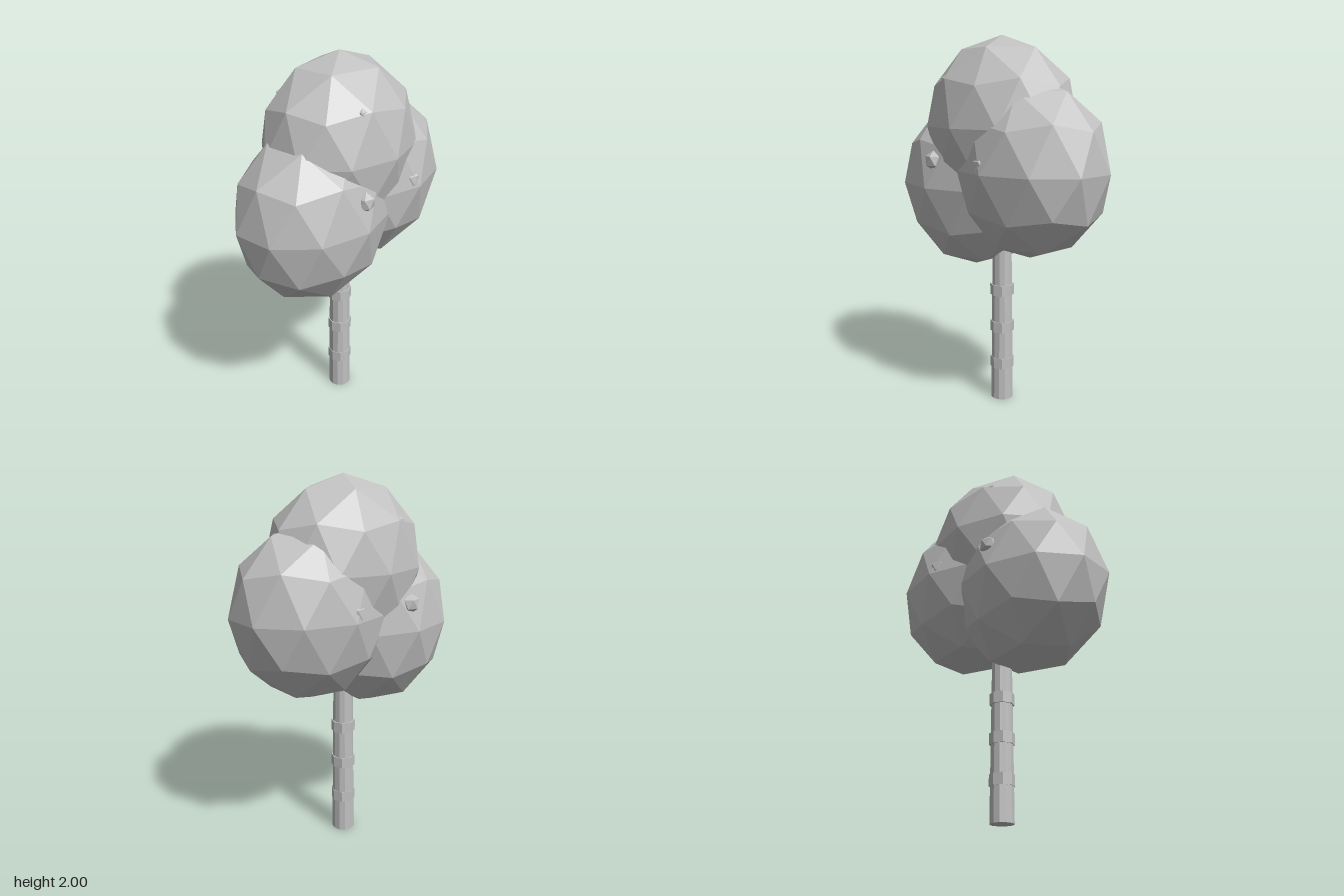
import * as THREE from 'three';

const grey = new THREE.MeshStandardMaterial({ color: 0xc0c0c0, flatShading: true });
grey.name = 'pale grey';

export function createModel() {
  const tree = new THREE.Group();
  tree.name = 'tree';

  function add(name, geometry, x, y, z) {
    const mesh = new THREE.Mesh(geometry, grey);
    mesh.name = name;
    mesh.position.set(x, y, z);
    tree.add(mesh);
  }

  // Faceted ball with a corner at the top, flattened front to back
  const tilt = -Math.atan(2 / (1 + Math.sqrt(5)));
  function ball(rx, ry, rz, detail) {
    return new THREE.IcosahedronGeometry(1, detail).rotateZ(tilt).scale(rx, ry, rz);
  }

  // Tapered trunk
  add('trunk', new THREE.CylinderGeometry(0.052, 0.063, 1.1, 12), 0, 0.55, 0);

  // Bark rings, whose corners stand out from the trunk
  for (const y of [0.212, 0.424, 0.636]) {
    add('barkRing', new THREE.CylinderGeometry(0.066, 0.066, 0.06, 8), 0, y, 0);
  }

  // Foliage clumps
  const clumps = [
    ['topFoliage', 0, 1.532],
    ['rightFoliage', -0.21, 1.213],
    ['leftFoliage', 0.21, 1.318],
  ];
  for (const [name, x, y] of clumps) add(name, ball(0.447, 0.468, 0.366, 1), x, y, 0);

  // Small fruits, half buried in the front and back of the foliage
  const fruits = [
    [-0.185, 1.357, 0.321],
    [0.185, 1.357, 0.321],
    [-0.13, 1.757, 0.25],
  ];
  for (const [x, y, z] of fruits) {
    for (const side of [1, -1]) add('fruit', ball(0.053, 0.053, 0.043, 0), x, y, z * side);
  }

  return tree;
}
